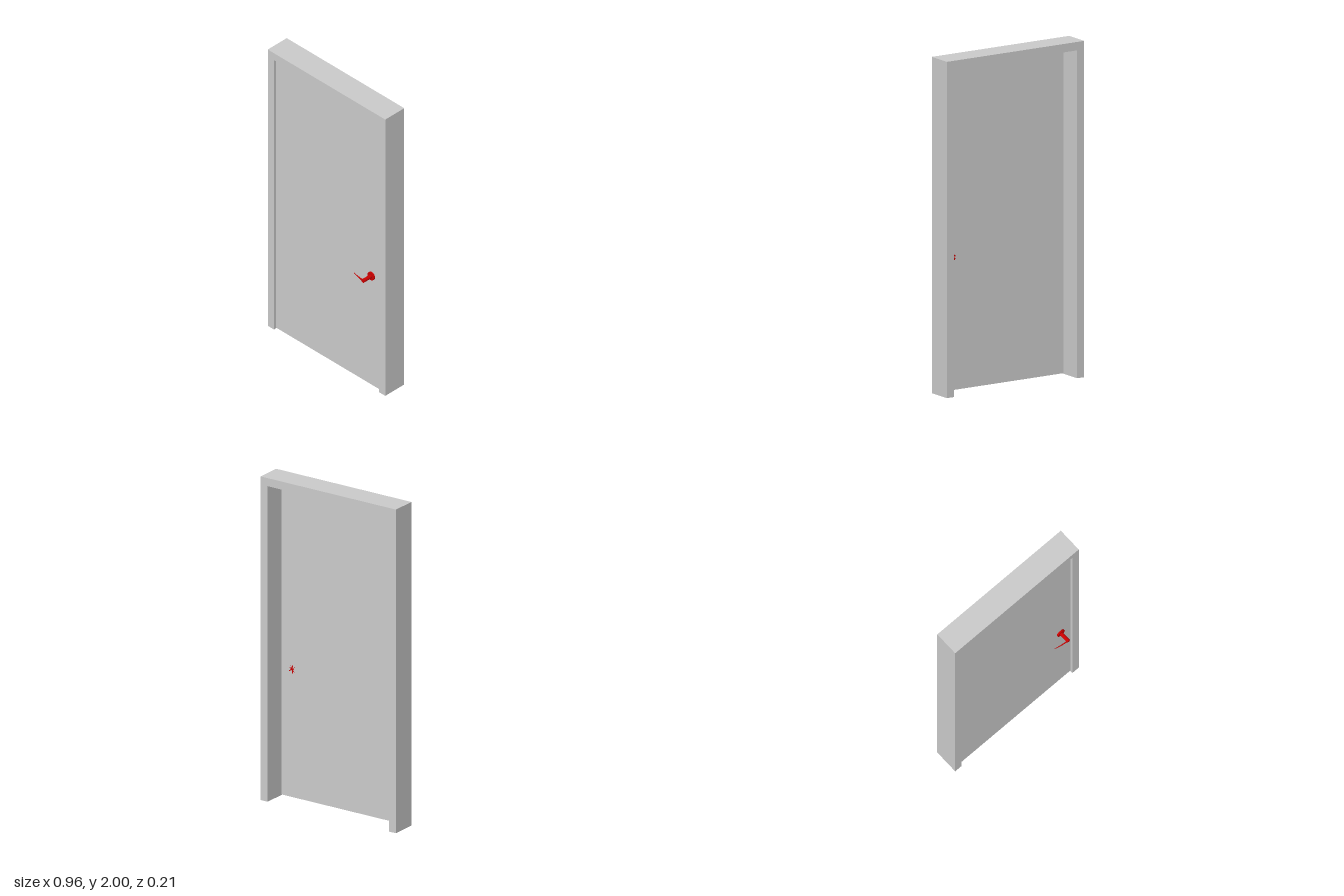
import * as THREE from 'three';

const HALF_W = 0.48, HEIGHT = 2, TRIM = 0.05;
const FRONT = 0.05, BACK = -0.106, DOOR_Z = 0.032;

export function createModel() {
  const model = new THREE.Group();
  model.name = 'door';
  const grey = new THREE.MeshStandardMaterial({ color: 0xcccccc, side: THREE.DoubleSide });
  const red = new THREE.MeshStandardMaterial({ color: 0xcc0000 });

  const add = (parent, name, geometry, material, x = 0, y = 0, z = 0) => {
    const mesh = new THREE.Mesh(geometry, material);
    mesh.name = name;
    mesh.position.set(x, y, z);
    parent.add(mesh);
    return mesh;
  };

  // Frame: a hollow casing, open at the foot of both jambs
  const frame = new THREE.Group();
  frame.name = 'frame';
  model.add(frame);
  const inW = HALF_W - TRIM, inH = HEIGHT - TRIM;
  const arch = new THREE.Shape([
    [-HALF_W, 0], [-inW, 0], [-inW, inH], [inW, inH],
    [inW, 0], [HALF_W, 0], [HALF_W, HEIGHT], [-HALF_W, HEIGHT],
  ].map(([x, y]) => new THREE.Vector2(x, y)));
  add(frame, 'frameFront', new THREE.ShapeGeometry(arch), grey, 0, 0, FRONT);
  // The arch is symmetric, so half a turn makes the rear face
  add(frame, 'frameBack', new THREE.ShapeGeometry(arch), grey, 0, 0, BACK).rotation.y = Math.PI;

  // Outer sides and inner reveals; facing is +1 away from the opening, -1 towards it
  const depth = FRONT - BACK, midZ = (FRONT + BACK) / 2;
  for (const [label, w, h, facing] of [['outer', HALF_W, HEIGHT, 1], ['inner', inW, inH, -1]]) {
    for (const side of [-1, 1]) {
      const name = label + (side > 0 ? 'LeftSide' : 'RightSide');
      const wall = add(frame, name, new THREE.PlaneGeometry(depth, h), grey, side * w, h / 2, midZ);
      wall.rotation.y = side * facing * Math.PI / 2;
    }
    const top = add(frame, label + 'Top', new THREE.PlaneGeometry(2 * w, depth), grey, 0, h, midZ);
    top.rotation.x = -facing * Math.PI / 2;
  }

  // Door leaf: one thin sheet set just behind the front of the frame
  add(model, 'doorLeaf', new THREE.PlaneGeometry(2 * inW, inH - 0.004), grey,
    0, (inH + 0.004) / 2, DOOR_Z);

  // Handle: rosette, stem and curved tapering lever
  const handle = new THREE.Group();
  handle.name = 'handle';
  handle.position.set(0.352, 0.793, 0);
  model.add(handle);
  const disc = (name, radius, z0, z1) => add(handle, name,
    new THREE.CylinderGeometry(radius, radius, z1 - z0, 24).rotateX(Math.PI / 2),
    red, 0, 0, (z0 + z1) / 2);
  disc('rosette', 0.027, DOOR_Z, 0.042);
  disc('stem', 0.0115, 0.042, 0.105);

  // Lever: a rod bent back towards the door and flattened to its tip
  const lever = new THREE.CylinderGeometry(1, 1, 1, 16, 12);
  const p = lever.attributes.position;
  for (let i = 0; i < p.count; i++) {
    const t = p.getY(i) + 0.5; // 0 at the stem, 1 at the tip
    p.setXYZ(i,
      -0.09 * t,
      p.getX(i) * (0.0075 - 0.004 * t),
      0.1 - 0.0145 * t ** 1.7 + p.getZ(i) * (0.0045 - 0.0035 * t));
  }
  lever.computeVertexNormals();
  // The bend keeps the rod's winding only if its signed volume stays positive
  const leverMaterial = red.clone();
  leverMaterial.side = THREE.DoubleSide;
  add(handle, 'lever', lever, leverMaterial);

  return model;
}
